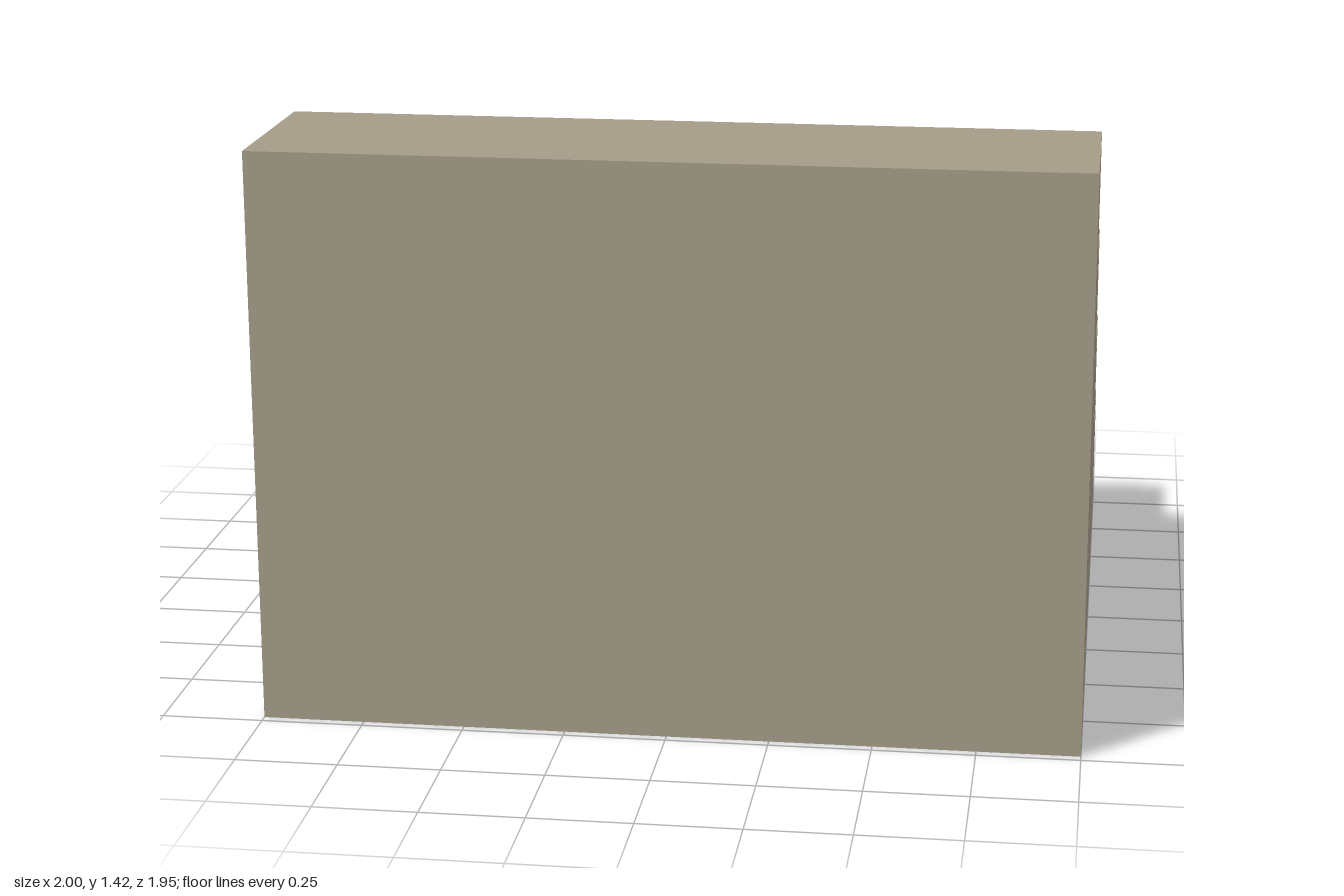
import * as THREE from 'three';

const WIDTH = 2, DEPTH = 1.954, HEIGHT = 1.422, STEPS = 4;

export function createModel() {
  const group = new THREE.Group();
  group.name = 'staircase';
  const stone = new THREE.MeshStandardMaterial({ color: 0xa49c88 });
  stone.name = 'stone';

  // Stepped side profile: tall end at the front, descending to the back
  const tread = DEPTH / STEPS, rise = HEIGHT / STEPS;
  const profile = new THREE.Shape();
  profile.moveTo(-DEPTH / 2, 0);
  profile.lineTo(DEPTH / 2, 0);
  for (let i = 0; i < STEPS; i++) {
    const y = HEIGHT - i * rise;
    profile.lineTo(DEPTH / 2 - i * tread, y);
    profile.lineTo(DEPTH / 2 - (i + 1) * tread, y);
  }
  profile.closePath();

  // Extrude across the width and turn the profile to run along z
  const geometry = new THREE.ExtrudeGeometry(profile, { depth: WIDTH, bevelEnabled: false });
  geometry.translate(0, 0, -WIDTH / 2);
  geometry.rotateY(-Math.PI / 2);

  const steps = new THREE.Mesh(geometry, stone);
  steps.name = 'steps';
  group.add(steps);
  return group;
}
